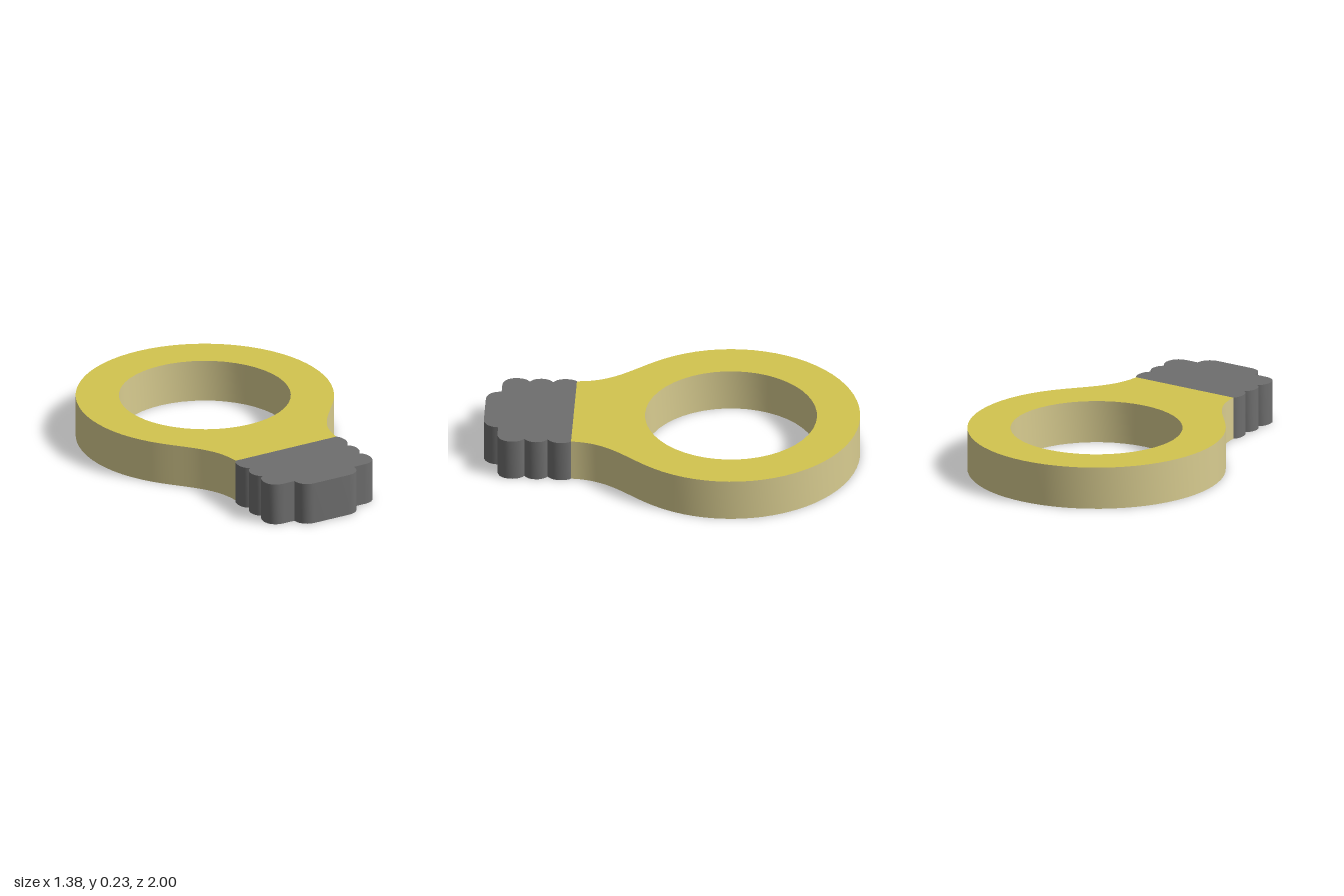
import * as THREE from 'three';
import { toCreasedNormals } from 'three/addons/utils/BufferGeometryUtils.js';

const HEIGHT = 0.23;

// Extrudes a plan drawn in (x, z) upwards from y = 0
function slab(name, shape, materials, curveSegments) {
  const flat = new THREE.ExtrudeGeometry(shape, { depth: HEIGHT, bevelEnabled: false, curveSegments });
  flat.rotateX(Math.PI / 2).translate(0, HEIGHT, 0);
  const mesh = new THREE.Mesh(toCreasedNormals(flat, 0.6), materials);
  mesh.name = name;
  return mesh;
}

export function createModel() {
  const material = (name, color) => {
    const m = new THREE.MeshStandardMaterial({ color });
    m.name = name;
    return m;
  };
  const yellow = material('yellow face', 0xd2c44f);
  const paleYellow = material('pale yellow edge', 0xd8cc90);
  const grey = material('dark grey', 0x6e6e6e);

  const model = new THREE.Group();
  model.name = 'lightBulbRing';

  // Bulb: round head flowing into a neck, with a round hole
  const cz = -0.312, radius = 0.688, a = 0.6;
  const jx = radius * Math.cos(a), jz = cz + radius * Math.sin(a);
  const bulb = new THREE.Shape();
  bulb.moveTo(0.313, 0.525);
  bulb.lineTo(-0.313, 0.525);
  bulb.bezierCurveTo(-0.32, 0.32, -0.46, 0.235, -jx, jz);
  bulb.absarc(0, cz, radius, Math.PI - a, 2 * Math.PI + a, false);
  bulb.bezierCurveTo(0.46, 0.235, 0.32, 0.32, 0.313, 0.525);
  const hole = new THREE.Path();
  hole.absarc(0, cz, 0.458, 0, 2 * Math.PI, true);
  bulb.holes.push(hole);
  model.add(slab('bulb', bulb, [yellow, paleYellow], 24));

  // Screw base: three rounded threads per side and a contact nub.
  // Each row is a cubic: control 1, control 2, end.
  const half = [
    [0.337, 0.545, 0.345, 0.625, 0.297, 0.65],
    [0.341, 0.675, 0.341, 0.75, 0.297, 0.775],
    [0.345, 0.8, 0.35, 0.92, 0.255, 0.92],
    [0.23, 0.92, 0.21, 0.92, 0.185, 0.92],
    [0.185, 0.965, 0.155, 1, 0.108, 1],
  ];
  const base = new THREE.Shape();
  base.moveTo(-0.313, 0.525);
  base.lineTo(0.313, 0.525);
  for (const c of half) base.bezierCurveTo(...c);
  base.lineTo(-0.108, 1);
  // Mirrored side, walked backwards
  for (let i = half.length - 1; i >= 0; i--) {
    const [ax, az, bx, bz] = half[i];
    const [ex, ez] = i > 0 ? half[i - 1].slice(4) : [0.313, 0.525];
    base.bezierCurveTo(-bx, bz, -ax, az, -ex, ez);
  }
  model.add(slab('screwBase', base, grey, 10));

  return model;
}
